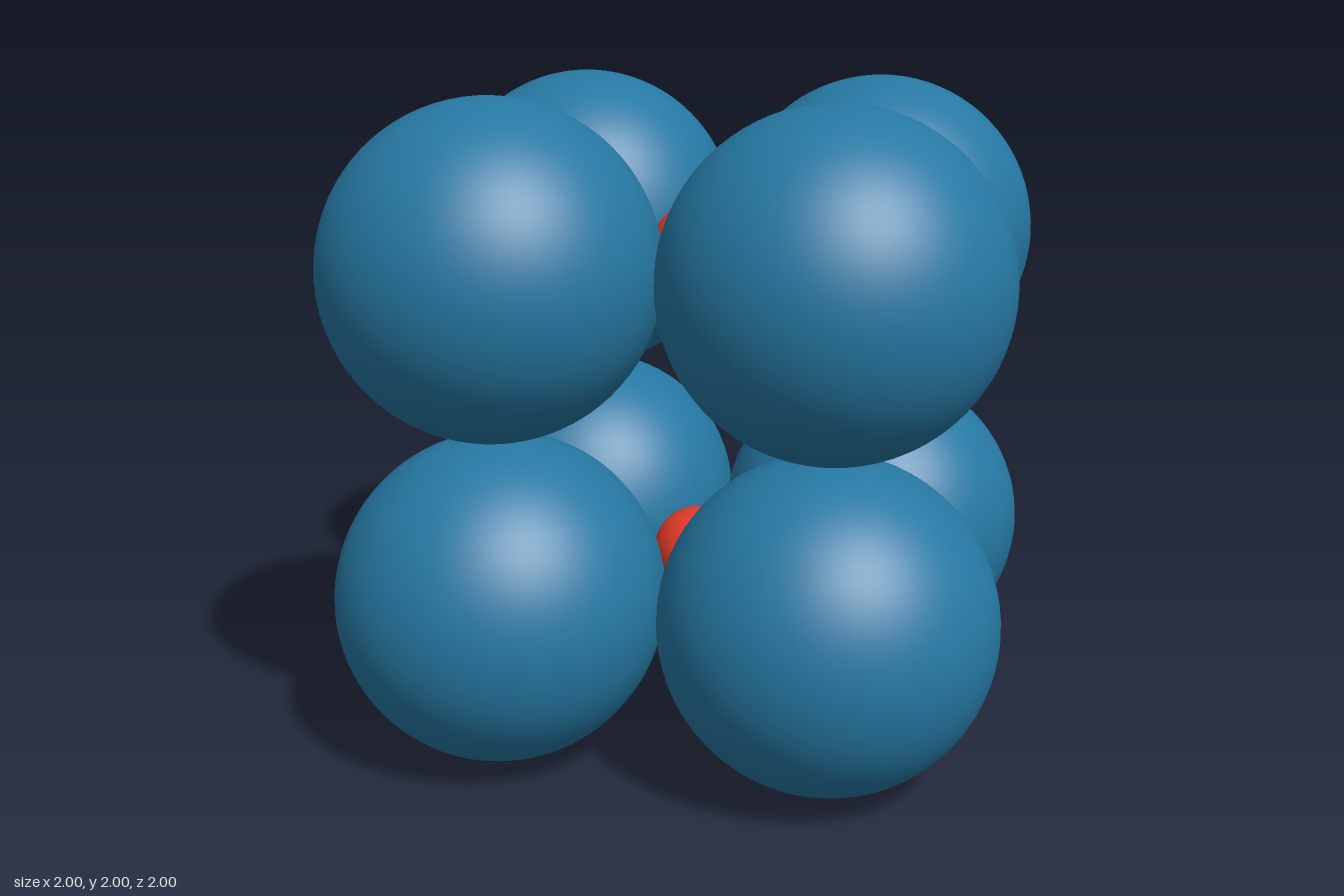
import * as THREE from 'three';

export function createModel() {
  const model = new THREE.Group();
  const blue = new THREE.MeshStandardMaterial({ name: 'blue', color: 0x2678a3 });
  const red = new THREE.MeshStandardMaterial({ name: 'red', color: 0xe03a28 });
  const largeGeometry = new THREE.SphereGeometry(0.5, 64, 40);
  const smallGeometry = new THREE.SphereGeometry(0.144, 48, 32);

  function addBall(name, geometry, material, x, y, z) {
    const ball = new THREE.Mesh(geometry, material);
    ball.name = name;
    ball.position.set(x, y, z);
    model.add(ball);
  }

  for (const [level, y] of [['lower', 0.5], ['upper', 1.5]]) {
    // Four large balls touching at the corners of a square
    for (const [side, x] of [['Left', 0.5], ['Right', -0.5]]) {
      for (const [end, z] of [['Front', 0.5], ['Back', -0.5]]) {
        addBall(`${level}${end}${side}Ball`, largeGeometry, blue, x, y, z);
      }
    }
    // Small ball in the gap at the middle of the layer
    addBall(`${level}CentreBall`, smallGeometry, red, 0, y, 0);
  }
  return model;
}
